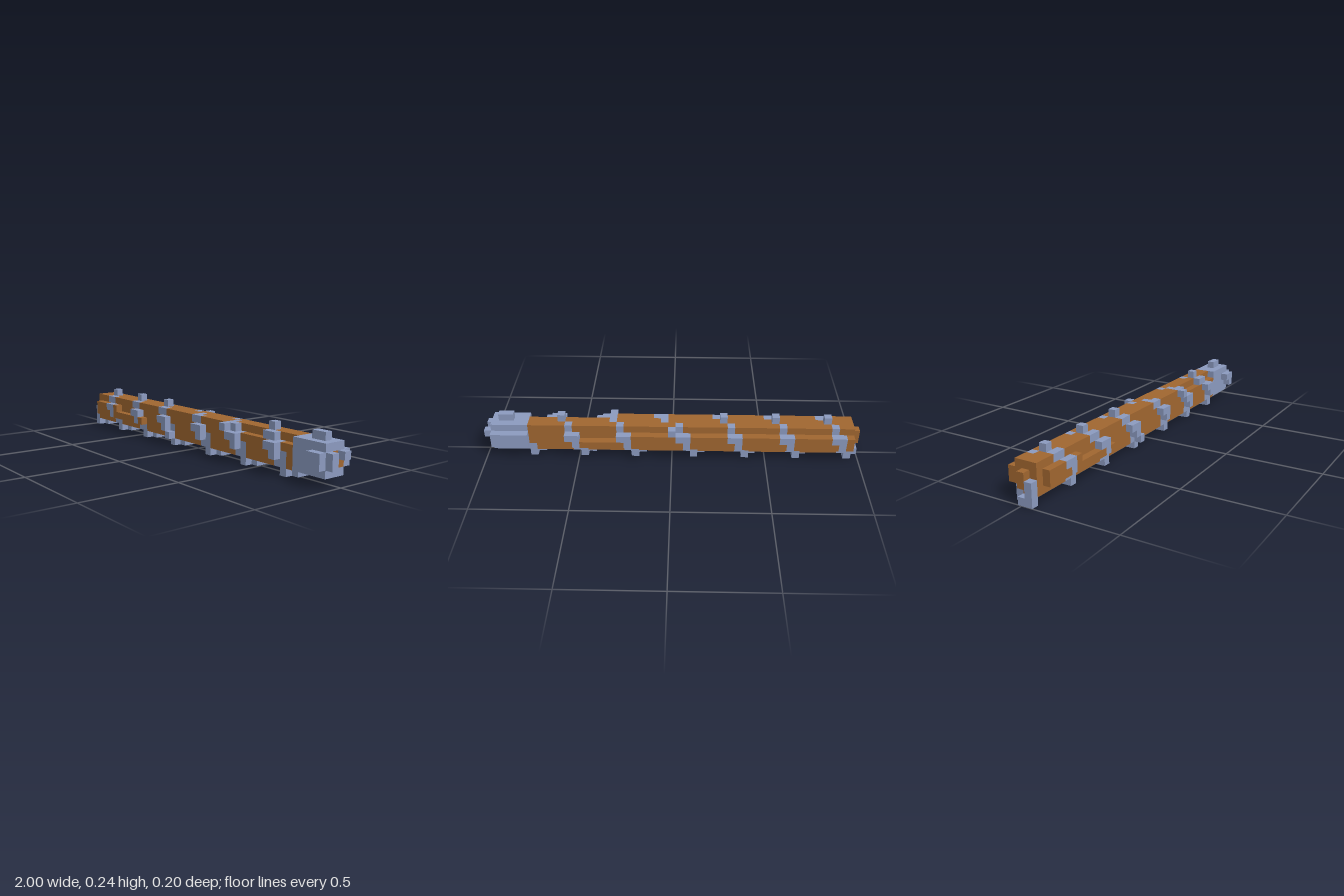
import * as THREE from 'three';
import { mergeGeometries } from 'three/addons/utils/BufferGeometryUtils.js';

// Block grid: 51 long (x), 6 high (y), 5 deep (z, back to front)
const NX = 51, NZ = 5, S = 2 / NX;

export function createModel() {
  const materials = {
    wood: new THREE.MeshStandardMaterial({ color: 0xa06630 }),
    steel: new THREE.MeshStandardMaterial({ color: 0x8b9abf }),
  };
  materials.wood.name = 'wood';
  materials.steel.name = 'steel';

  const cells = new Map();
  const key = (x, y, z) => `${x},${y},${z}`;
  // Fill an inclusive block range with a part; null carves it away
  const fill = (part, x0, x1, y0, y1, z0, z1) => {
    for (let x = Math.max(0, x0); x <= Math.min(NX - 1, x1); x++)
      for (let y = y0; y <= y1; y++)
        for (let z = z0; z <= z1; z++) {
          if (part) cells.set(key(x, y, z), part);
          else cells.delete(key(x, y, z));
        }
  };

  // Shaft: core, end nub and the ledges along front and back
  fill('shaft', 1, 49, 1, 4, 1, 3);
  fill('shaft', 0, 0, 2, 3, 2, 2);
  fill('shaft', 2, 7, 2, 3, 4, 4);
  fill('shaft', 8, 14, 2, 2, 4, 4);
  fill('shaft', 1, 32, 2, 3, 0, 0);
  fill('shaft', 33, 39, 2, 2, 0, 0);
  fill(null, 34, 44, 4, 4, 3, 3);

  // Head: cap with a raised back, prongs and an open socket
  fill('head', 45, 49, 1, 4, 1, 3);
  fill('head', 45, 49, 2, 3, 0, 0);
  fill('head', 50, 50, 2, 3, 3, 3);
  fill('head', 50, 50, 3, 3, 1, 1);
  fill('shaft', 49, 49, 2, 3, 2, 2);
  fill('shaft', 49, 49, 2, 2, 1, 1);

  // One turn of the spiral: [y, z, first offset, last offset] along x
  const turn = [
    [4, 2, 0, 0], [4, 3, 0, 1], [3, 3, 1, 2], [3, 4, 1, 2], [2, 4, 2, 2], [2, 3, 2, 3],
    [1, 3, 2, 3], [0, 3, 3, 3], [0, 2, 3, 4], [0, 1, 4, 4], [1, 1, 4, 5],
    [2, 0, 5, 5], [3, 0, 5, 6], [4, 1, 6, 6],
  ];
  const starts = [-3, 4, 11, 18, 26, 33, 40, 47];
  for (const s of starts)
    for (const [y, z, a, b] of turn)
      if (s + a <= 49) fill('spiral', s + a, Math.min(s + b, 49), y, y, z, z);
  // The last turn stops at the cap
  fill(null, 50, 50, 0, 1, 0, 4);
  fill(null, 45, 49, 0, 0, 0, 4);
  fill('head', 49, 49, 1, 1, 1, 3);
  // Raised studs on top and the few outer corner studs
  for (const x of [4, 11, 18, 40, 47, 48]) fill('spiral', x, x, 5, 5, 2, 2);
  fill('spiral', 33, 33, 4, 4, 4, 4);
  fill('spiral', 21, 21, 1, 1, 4, 4);
  fill('spiral', 25, 25, 4, 4, 0, 0);
  fill('spiral', 30, 30, 1, 1, 0, 0);

  // Outer faces only: one square per exposed block side
  const sides = [
    [1, 0, 0, 0, Math.PI / 2], [-1, 0, 0, 0, -Math.PI / 2],
    [0, 1, 0, -Math.PI / 2, 0], [0, -1, 0, Math.PI / 2, 0],
    [0, 0, 1, 0, 0], [0, 0, -1, 0, Math.PI],
  ].map(([dx, dy, dz, rx, ry]) => ({
    d: [dx, dy, dz],
    square: new THREE.PlaneGeometry(S, S).rotateX(rx).rotateY(ry)
      .translate(dx * S / 2, dy * S / 2, dz * S / 2),
  }));
  const faces = { shaft: [], spiral: [], head: [] };
  for (const [k, part] of cells) {
    const [x, y, z] = k.split(',').map(Number);
    for (const { d, square } of sides) {
      if (cells.has(key(x + d[0], y + d[1], z + d[2]))) continue;
      faces[part].push(square.clone().translate(
        (x + 0.5 - NX / 2) * S, (y + 0.5) * S, (z + 0.5 - NZ / 2) * S));
    }
  }

  const group = new THREE.Group();
  group.name = 'spiralBandedRod';
  for (const part of Object.keys(faces)) {
    const mesh = new THREE.Mesh(mergeGeometries(faces[part]),
      part === 'shaft' ? materials.wood : materials.steel);
    mesh.name = part;
    group.add(mesh);
  }
  return group;
}
